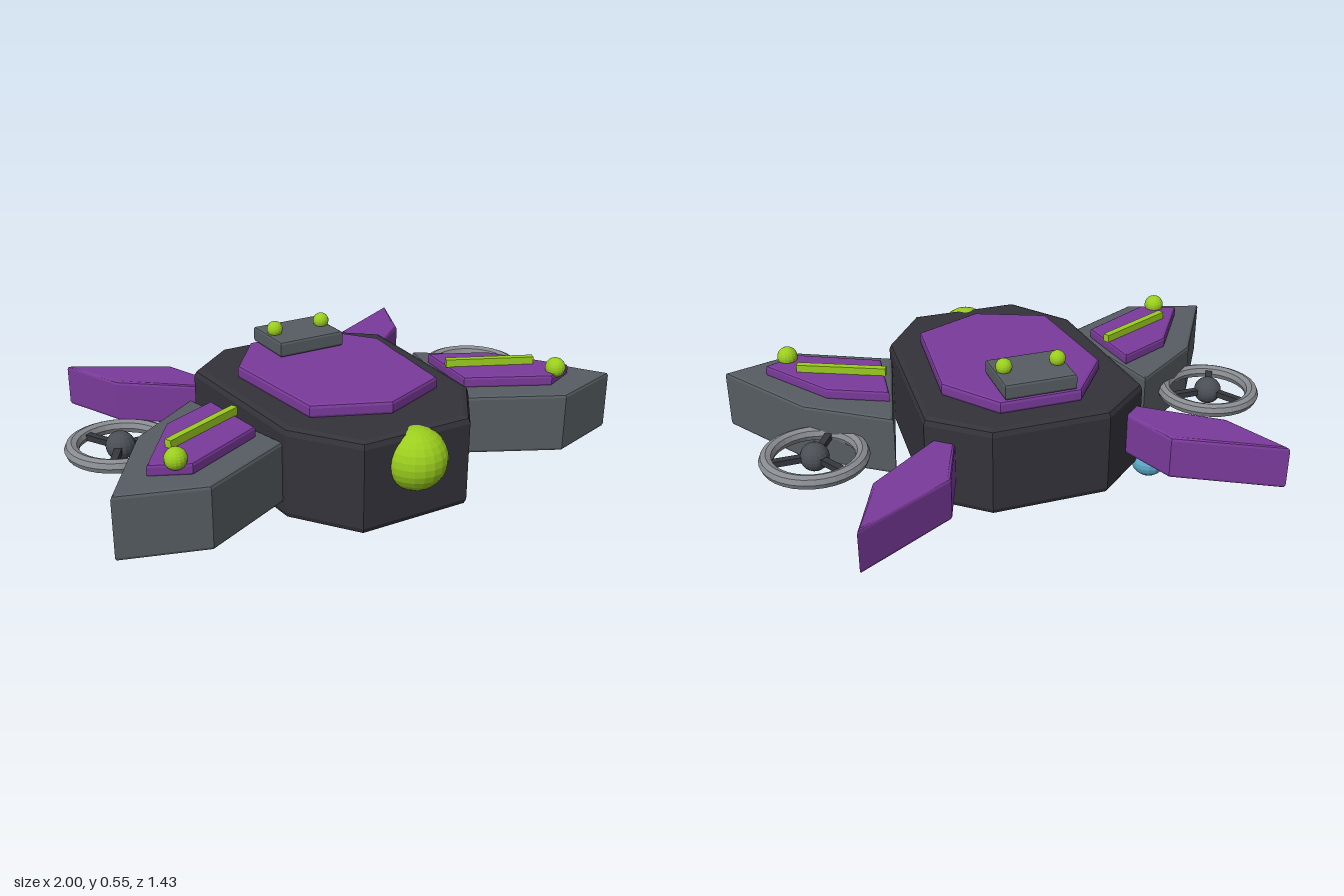
import * as THREE from 'three';

const material = (name, color) => {
  const m = new THREE.MeshStandardMaterial({ color, flatShading: true });
  m.name = name;
  return m;
};

export function createModel() {
  const model = new THREE.Group();
  model.name = 'hoverCraft';

  const charcoal = material('charcoal', 0x34333a);
  const slate = material('slate grey', 0x565d62);
  const purple = material('purple', 0x7a3a9a);
  const lime = material('lime green', 0x9acd1e);
  const blue = material('sky blue', 0x62b6d6);
  const steel = material('steel', 0x888b90);
  const hubGrey = material('hub grey', 0x4a4f55);
  const spokeGrey = material('spoke grey', 0x36383e);

  const add = (parent, name, geometry, mat, x = 0, y = 0, z = 0) => {
    const mesh = new THREE.Mesh(geometry, mat);
    mesh.name = name;
    mesh.position.set(x, y, z);
    parent.add(mesh);
    return mesh;
  };

  // Bevelled slab from a plan outline of [x, z] points, between two heights
  const slab = (points, y0, y1, bevel) => {
    const shape = new THREE.Shape(points.map(([x, z]) => new THREE.Vector2(x, z)));
    const geometry = new THREE.ExtrudeGeometry(shape, {
      depth: y1 - y0 - 2 * bevel, bevelThickness: bevel,
      bevelSize: bevel, bevelOffset: -bevel, bevelSegments: 2,
    });
    return geometry.rotateX(Math.PI / 2).translate(0, y1 - bevel, 0);
  };
  const flip = (points, side) => points.map(([x, z]) => [x * side, z]);
  const symmetric = (half) => [...half, ...flip(half, -1).reverse()];
  const ball = (radius) => new THREE.SphereGeometry(radius, 16, 12);

  // Central hull, deck plate and nose lamp
  const hull = symmetric([[0.21, 0.615], [0.375, 0.385], [0.41, -0.25], [0.215, -0.412]]);
  add(model, 'hull', slab(hull, 0.065, 0.4, 0.025), charcoal);
  const deck = [[0, 0.46], ...symmetric([[0.26, 0.35], [0.302, -0.1], [0.15, -0.302]])];
  add(model, 'deckPlate', slab(deck, 0.395, 0.445, 0.012), purple);
  add(model, 'noseLamp', new THREE.SphereGeometry(0.11, 20, 14), lime, 0, 0.294, 0.6);

  // Control box with two lamps
  const box = symmetric([[0.132, -0.085], [0.132, -0.302]]);
  add(model, 'controlBox', slab(box, 0.446, 0.506, 0.01), slate);
  for (const x of [-0.1, 0.1]) add(model, 'controlLamp', ball(0.03), lime, x, 0.523, -0.192);

  // Plan outlines of the side parts, drawn for the +x side
  const pod = [[0.485, -0.122], [0.77, 0.08], [1.0, 0.445], [0.71, 0.535], [0.37, 0.365]];
  const plate = [[0.465, 0.012], [0.675, 0.11], [0.855, 0.375], [0.725, 0.435], [0.432, 0.287]];
  const fin = [[0.27, -0.18], [0.395, -0.528], [0.745, -0.72], [0.64, -0.465]];

  for (const side of [1, -1]) {
    const wing = new THREE.Group();
    wing.name = side > 0 ? 'leftSide' : 'rightSide';
    model.add(wing);

    // Pod with its top plate, light bar and lamp
    add(wing, 'pod', slab(flip(pod, side), 0.12, 0.345, 0.012), slate);
    add(wing, 'podPlate', slab(flip(plate, side), 0.34, 0.384, 0.01), purple);
    const bar = add(wing, 'lightBar', new THREE.BoxGeometry(0.335, 0.03, 0.026), lime,
      side * 0.595, 0.397, 0.225);
    bar.rotation.y = -side * 0.43;
    add(wing, 'podLamp', ball(0.038), lime, side * 0.767, 0.397, 0.402);

    // Rear fin and underside thruster
    add(wing, 'rearFin', slab(flip(fin, side), 0.163, 0.323, 0.012), purple);
    add(wing, 'thrusterBall', ball(0.068), blue, side * 0.461, 0.068, -0.237);

    // Ringed rotor with three spokes
    const rotor = new THREE.Group();
    rotor.name = 'rotor';
    rotor.position.set(side * 0.767, 0.238, -0.1);
    wing.add(rotor);
    add(rotor, 'rotorRing', new THREE.TorusGeometry(0.168, 0.026, 8, 32).rotateX(Math.PI / 2), steel);
    add(rotor, 'rotorHub', ball(0.052), hubGrey);
    for (let i = 0; i < 3; i++) {
      const spoke = new THREE.BoxGeometry(0.16, 0.022, 0.026).translate(0.08, 0, 0);
      add(rotor, 'rotorSpoke', spoke, spokeGrey).rotation.y = (i * Math.PI * 2) / 3;
    }
  }
  return model;
}
